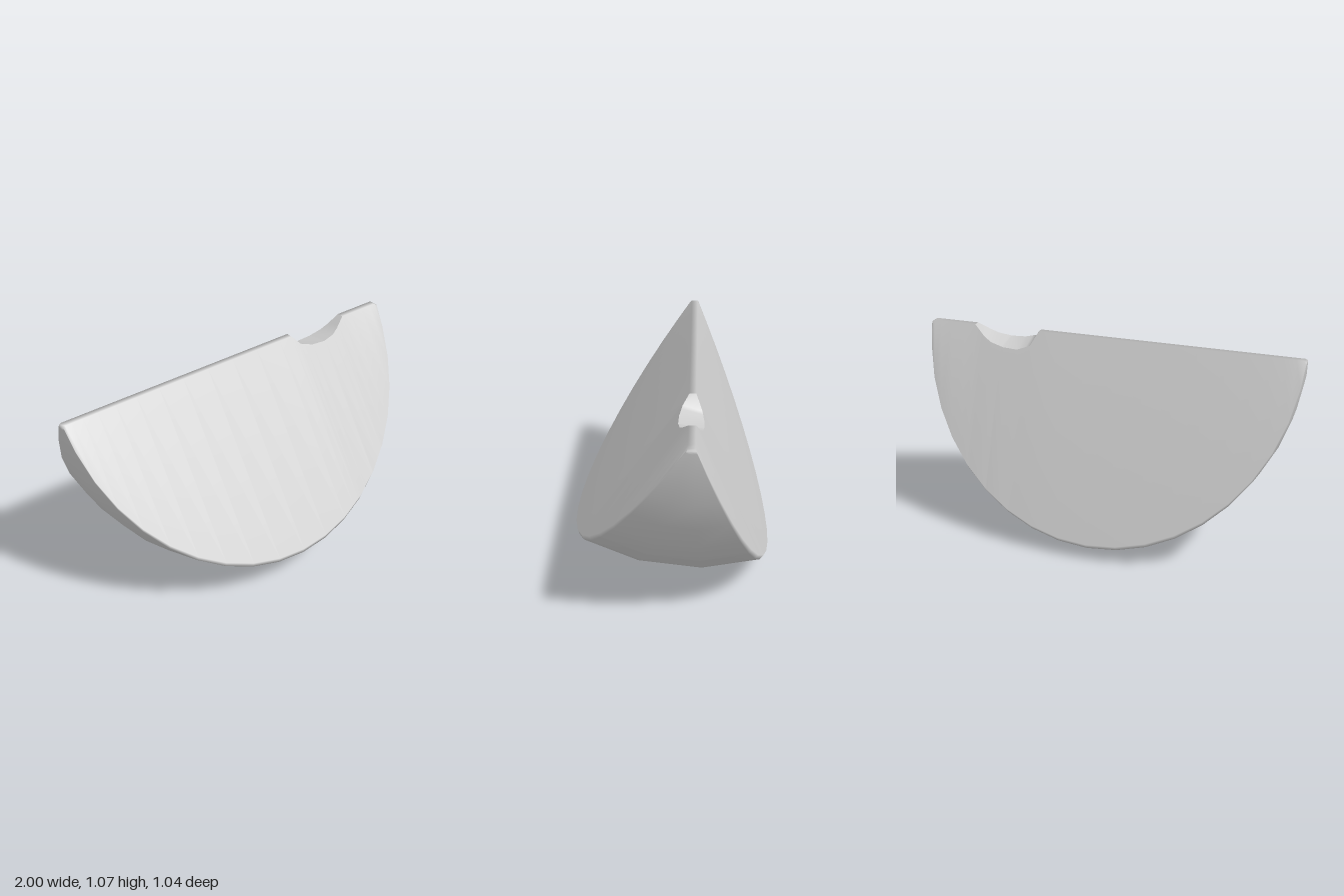
import * as THREE from 'three';

const APEX = { z: -0.112, y: 1.1 };          // where the two cut faces would meet
const FRONT = 0.71, BACK = -0.404;           // sideways run of each cut face per unit of depth
const RIDGE = 0.031;                         // depth at which the sharp ridge is blunted

// Lower part of the middle cross-section, as [z offset, depth] from the apex
const RIM = [
  [0.89 * FRONT, 0.89], [0.622, 0.92], [0.312, 1.055],
  [-0.053, 1.1], [-0.388, 1.038], [1.01 * BACK, 1.01],
];

// Notch in the ridge: [x, depth on front face, depth on back face]
const NOTCH = [
  [0.39, RIDGE, RIDGE], [0.43, 0.075, 0.105], [0.5, 0.097, 0.13], [0.58, 0.102, 0.126],
  [0.65, 0.09, 0.108], [0.69, 0.07, 0.085], [0.75, RIDGE, RIDGE],
];

// Linear interpolation in rows sorted by their first value
function sample(rows, x, col) {
  for (let i = 1; i < rows.length; i++) {
    const a = rows[i - 1], b = rows[i];
    if (x <= b[0]) return THREE.MathUtils.lerp(a[col], b[col], (x - a[0]) / (b[0] - a[0]));
  }
  return rows[rows.length - 1][col];
}

function makeGeometry(points, index) {
  const g = new THREE.BufferGeometry();
  g.setAttribute('position', new THREE.Float32BufferAttribute(points, 3));
  g.setIndex(index);
  g.computeVertexNormals();
  return g;
}

export function createModel() {
  const group = new THREE.Group();
  group.name = 'wedge';
  const material = new THREE.MeshStandardMaterial({ color: 0xcccccc });

  // Half-round outline in 9 degree steps: [x, scale of cross-section]
  const outline = [[-1, 0.05]];
  for (let k = -9; k <= 9; k++) {
    const a = THREE.MathUtils.degToRad(k * 9);
    outline.push([Math.sin(a), Math.cos(a)]);
  }
  outline.push([1, 0.05]);

  const xs = [...outline.map((r) => r[0]), ...NOTCH.map((r) => r[0])].sort((a, b) => a - b);
  const x0 = NOTCH[0][0], x1 = NOTCH[NOTCH.length - 1][0];
  const inNotch = (x) => x >= x0 && x <= x1;

  // One closed cross-section: ridge front, rim points, ridge back
  const section = (x) => {
    const s = sample(outline, x, 1);
    const base = Math.abs(x) === 1 ? 0.038 : RIDGE;
    const front = inNotch(x) ? sample(NOTCH, x, 1) : base;
    const back = inNotch(x) ? sample(NOTCH, x, 2) : base;
    const loop = [
      [front * FRONT, front],
      ...RIM.map(([z, d]) => [z * s, d * s]),
      [back * BACK, back],
    ];
    return loop.map(([z, d]) => [x, APEX.y - d, APEX.z + z]);
  };

  // Wedge body: loft the sections, leaving the ridge open along the notch
  const sections = xs.map(section);
  const n = RIM.length + 2;
  const index = [];
  for (let i = 0; i < xs.length - 1; i++) {
    const open = inNotch(xs[i]) && inNotch(xs[i + 1]);
    for (let j = 0; j < n; j++) {
      if (open && j === n - 1) continue;
      const k = (j + 1) % n;
      const a = i * n + j, b = i * n + k, c = b + n, d = a + n;
      index.push(a, b, c, a, c, d);
    }
  }
  const last = (xs.length - 1) * n;
  for (let j = 1; j < n - 1; j++) {
    index.push(0, j + 1, j, last, last + j, last + j + 1);
  }
  const body = new THREE.Mesh(makeGeometry(sections.flat(2), index), material);
  body.name = 'wedgeBody';
  group.add(body);

  // Notch floor: separate strip so its rim stays crisp
  const floor = sections.filter((s) => inNotch(s[0][0])).map((s) => [s[n - 1], s[0]]);
  const floorIndex = [];
  for (let i = 0; i < floor.length - 1; i++) {
    const a = i * 2, b = a + 1, c = a + 3, d = a + 2;
    floorIndex.push(a, b, c, a, c, d);
  }
  const notch = new THREE.Mesh(makeGeometry(floor.flat(2), floorIndex), material);
  notch.name = 'notchFloor';
  group.add(notch);

  return group;
}
